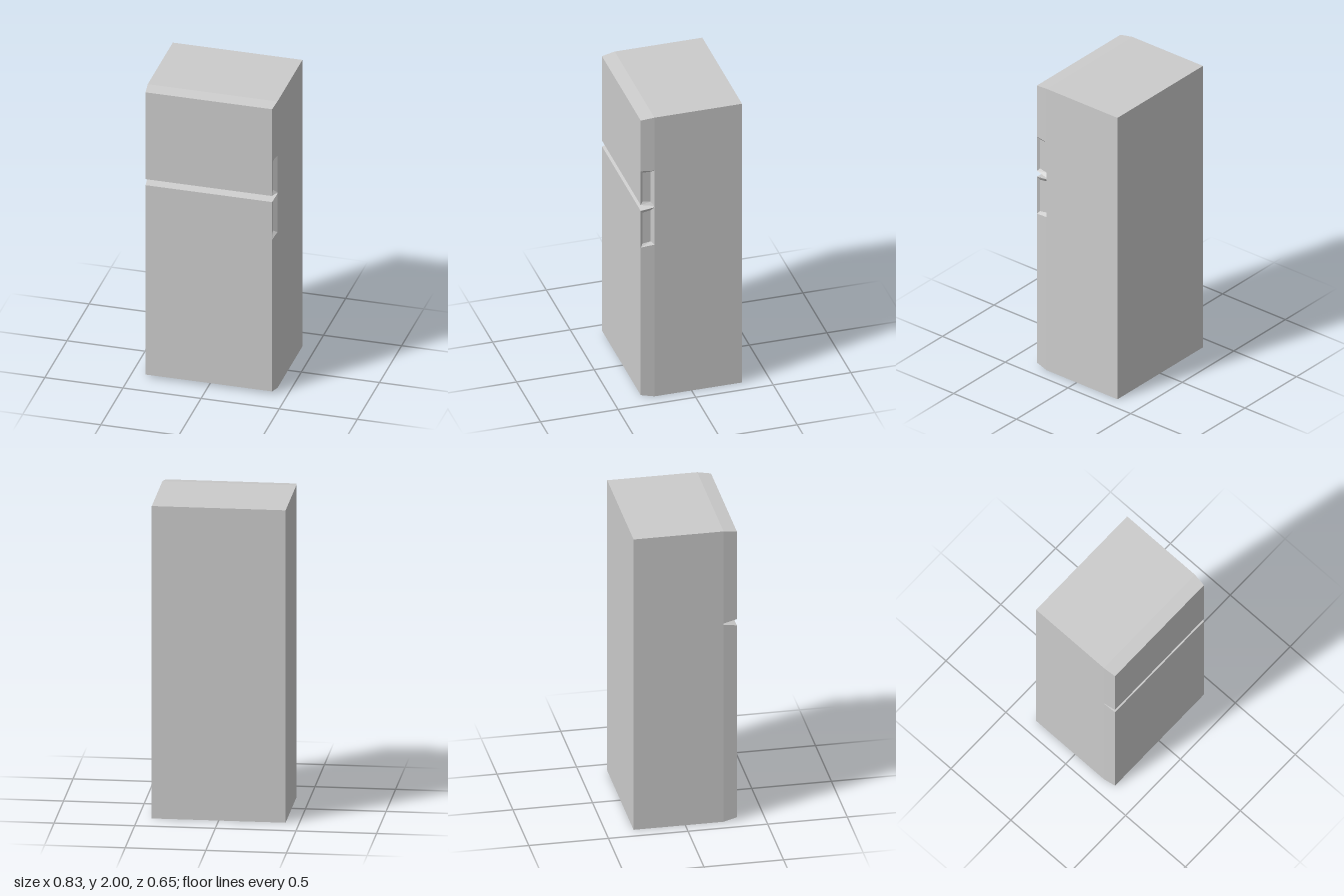
import * as THREE from 'three';

const W = 0.415, WF = 0.405;             // half widths: door back, door front
const ZB = -0.325, ZD = 0.24, ZF = 0.325; // cabinet back, door back, door front

const material = new THREE.MeshStandardMaterial({ color: 0xcccccc, flatShading: true });

// Flat-shaded geometry from four-cornered faces, corners anticlockwise from outside
function quadGeometry(quads) {
  const pos = [];
  for (const [a, b, c, d] of quads) pos.push(...a, ...b, ...c, ...a, ...c, ...d);
  const g = new THREE.BufferGeometry();
  g.setAttribute('position', new THREE.Float32BufferAttribute(pos, 3));
  g.computeVertexNormals();
  return g;
}

// Ring on the +x side: front-bottom, back-bottom, back-top, front-top
// yf and yb hold the [bottom, top] heights at the front and the back
const ring = (xf, xb, zf, zb, yf, yb) => [
  [xf, yf[0], zf], [xb, yb[0], zb], [xb, yb[1], zb], [xf, yf[1], zf],
];
const side = (yf, yb) => ring(WF, W, ZF, ZD, yf, yb);

// Tapered door with a finger recess in its +x edge
function makeDoor(name, yf, yb, grip, plain) {
  const R = side(yf, yb);
  const L = R.map(([x, y, z]) => [-x, y, z]);
  const outer = side(grip.outerF, grip.outerB);
  const floor = ring(0.393, 0.393, 0.31, 0.257, grip.innerF, grip.innerB);
  const quads = [
    [L[0], R[0], R[3], L[3]], // front
    [R[1], L[1], L[2], R[2]], // back
    [L[3], R[3], R[2], L[2]], // top
    [L[0], L[1], R[1], R[0]], // bottom
    [L[1], L[0], L[3], L[2]], // plain side
    side(plain.f, plain.b),   // grip side beyond the recess
    floor,
  ];
  // sloping recess walls
  for (let i = 0; i < 4; i++) {
    const j = (i + 1) % 4;
    quads.push([outer[i], outer[j], floor[j], floor[i]]);
  }
  const mesh = new THREE.Mesh(quadGeometry(quads), material);
  mesh.name = name;
  return mesh;
}

export function createModel() {
  const group = new THREE.Group();
  group.name = 'refrigerator';

  // Cabinet
  const cabinet = new THREE.Mesh(new THREE.BoxGeometry(2 * W, 2, ZD - ZB), material);
  cabinet.position.set(0, 1, (ZD + ZB) / 2);
  cabinet.name = 'cabinet';
  group.add(cabinet);

  // Upper door, recess at its lower end
  group.add(makeDoor('freezerDoor', [1.382, 1.988], [1.366, 2],
    { outerF: [1.382, 1.624], outerB: [1.366, 1.62], innerF: [1.398, 1.605], innerB: [1.388, 1.603] },
    { f: [1.624, 1.988], b: [1.62, 2] }));

  // Lower door, recess at its upper end
  group.add(makeDoor('fridgeDoor', [0.018, 1.34], [0, 1.356],
    { outerF: [1.077, 1.34], outerB: [1.088, 1.356], innerF: [1.096, 1.318], innerB: [1.104, 1.327] },
    { f: [0.018, 1.077], b: [0, 1.088] }));

  return group;
}
